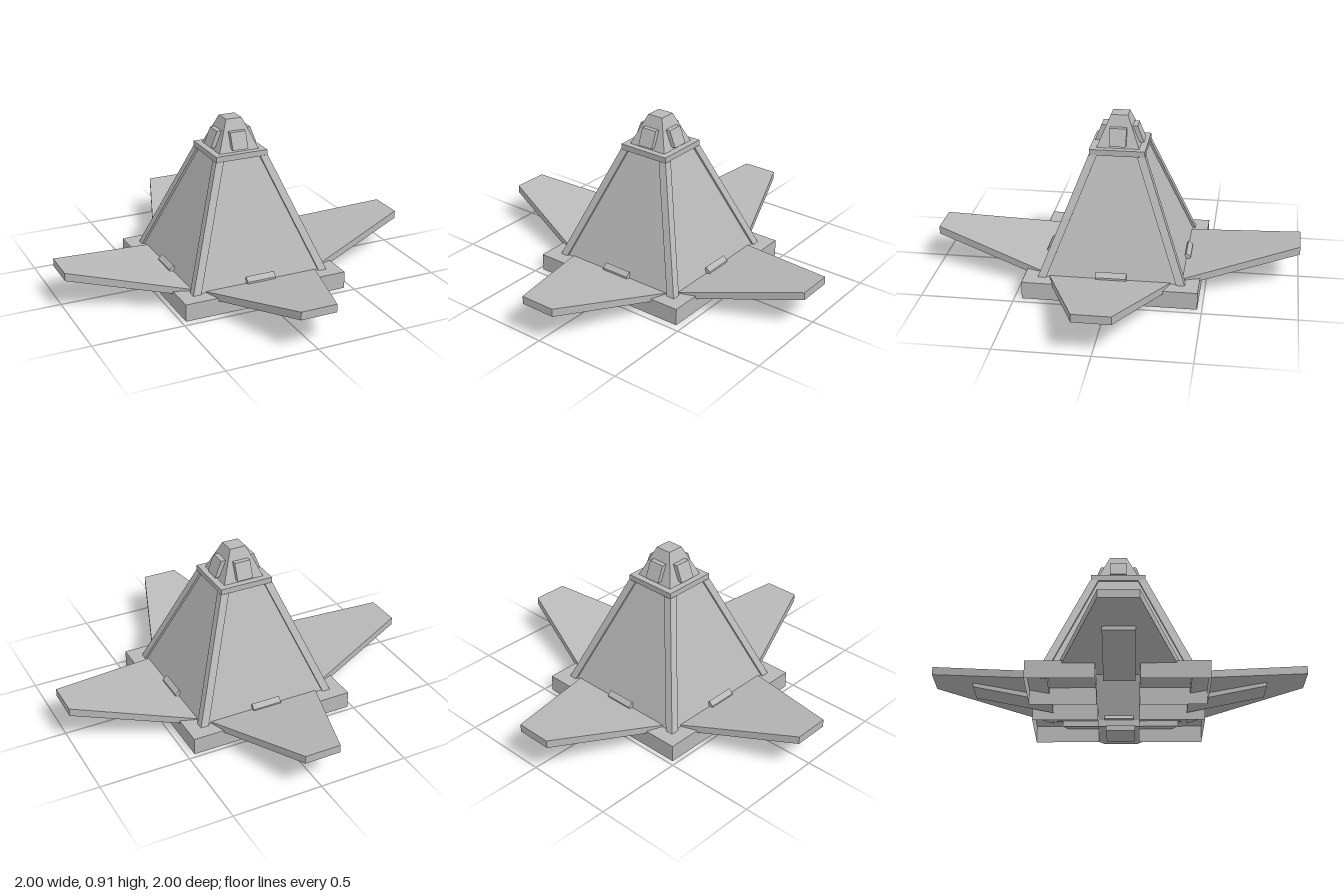
import * as THREE from 'three';
import { ConvexGeometry } from 'three/addons/geometries/ConvexGeometry.js';

const grey = new THREE.MeshStandardMaterial({ color: 0xb8b8b8, side: THREE.DoubleSide });
grey.name = 'hull grey';

function add(parent, name, geometry) {
  const mesh = new THREE.Mesh(geometry, grey);
  mesh.name = name;
  parent.add(mesh);
  return mesh;
}

// Flat-faced solid from profile points [z, y, half width], mirrored in x
function slab(profile) {
  return new ConvexGeometry(profile.flatMap(([z, y, w]) => [
    new THREE.Vector3(-w, y, z), new THREE.Vector3(w, y, z),
  ]));
}

// Square frustum, optionally open at both ends
function frustum(bottom, top, y0, y1, open = false) {
  const g = new THREE.CylinderGeometry(top * Math.SQRT2, bottom * Math.SQRT2, y1 - y0, 4, 1, open)
    .toNonIndexed();
  g.rotateY(Math.PI / 4);
  g.translate(0, (y0 + y1) / 2, 0);
  g.computeVertexNormals();
  return g;
}

// Corner rib: a square section leaning in from the base to the collar
function rib() {
  const points = [];
  for (const [outer, y] of [[0.395, 0.092], [0.152, 0.715]])
    for (const dx of [0, 0.045])
      for (const dz of [0, 0.045]) points.push(new THREE.Vector3(outer - dx, y, outer - dz));
  return new ConvexGeometry(points);
}

// Foot: thin-walled box, open underneath
function foot() {
  const g = new THREE.BoxGeometry(0.355, 0.095, 0.355);
  const index = Array.from(g.index.array);
  index.splice(18, 6);
  g.setIndex(index);
  g.clearGroups();
  g.translate(0.29, 0.0475, 0.29);
  return g;
}

export function createModel() {
  const model = new THREE.Group();
  model.name = 'pyramidLander';

  const body = new THREE.Group();
  body.name = 'body';
  body.position.set(-0.008, 0, -0.008);
  model.add(body);

  // Hollow tower, collar and cabin
  add(body, 'towerPanels', frustum(0.381, 0.137, 0.092, 0.715, true));
  const collar = new THREE.BoxGeometry(0.3, 0.032, 0.3);
  collar.translate(0, 0.729, 0);
  add(body, 'collar', collar);
  add(body, 'cabin', frustum(0.115, 0.046, 0.745, 0.91));

  const ribGeometry = rib();
  const footGeometry = foot();
  const windowGeometry = slab([
    [0.1, 0.76, 0.045], [0.134, 0.76, 0.045], [0.098, 0.85, 0.045], [0.065, 0.85, 0.045],
  ]);
  const wingGeometry = slab([
    [0.37, 0.062, 0.325], [0.37, 0.1, 0.325], [1, 0.225, 0.1], [1, 0.181, 0.1],
  ]);
  const plateGeometry = slab([
    [0.36, 0.032, 0.082], [0.36, 0.065, 0.082], [0.78, 0.145, 0.082], [0.78, 0.119, 0.082],
  ]);
  const hingeGeometry = slab([
    [0.355, 0.1, 0.082], [0.4, 0.1, 0.082], [0.4, 0.115, 0.082], [0.376, 0.138, 0.082],
  ]);

  // Four identical sides
  for (let i = 0; i < 4; i++) {
    const turn = (i * Math.PI) / 2;
    add(body, 'cornerRib', ribGeometry).rotation.y = turn;
    add(body, 'foot', footGeometry).rotation.y = turn;
    add(body, 'cabinWindow', windowGeometry).rotation.y = turn;
    add(body, 'wingHinge', hingeGeometry).rotation.y = turn;

    const wing = new THREE.Group();
    wing.name = 'wing';
    wing.rotation.y = turn;
    add(wing, 'wingPanel', wingGeometry);
    add(wing, 'wingUnderPlate', plateGeometry);
    model.add(wing);
  }
  return model;
}
